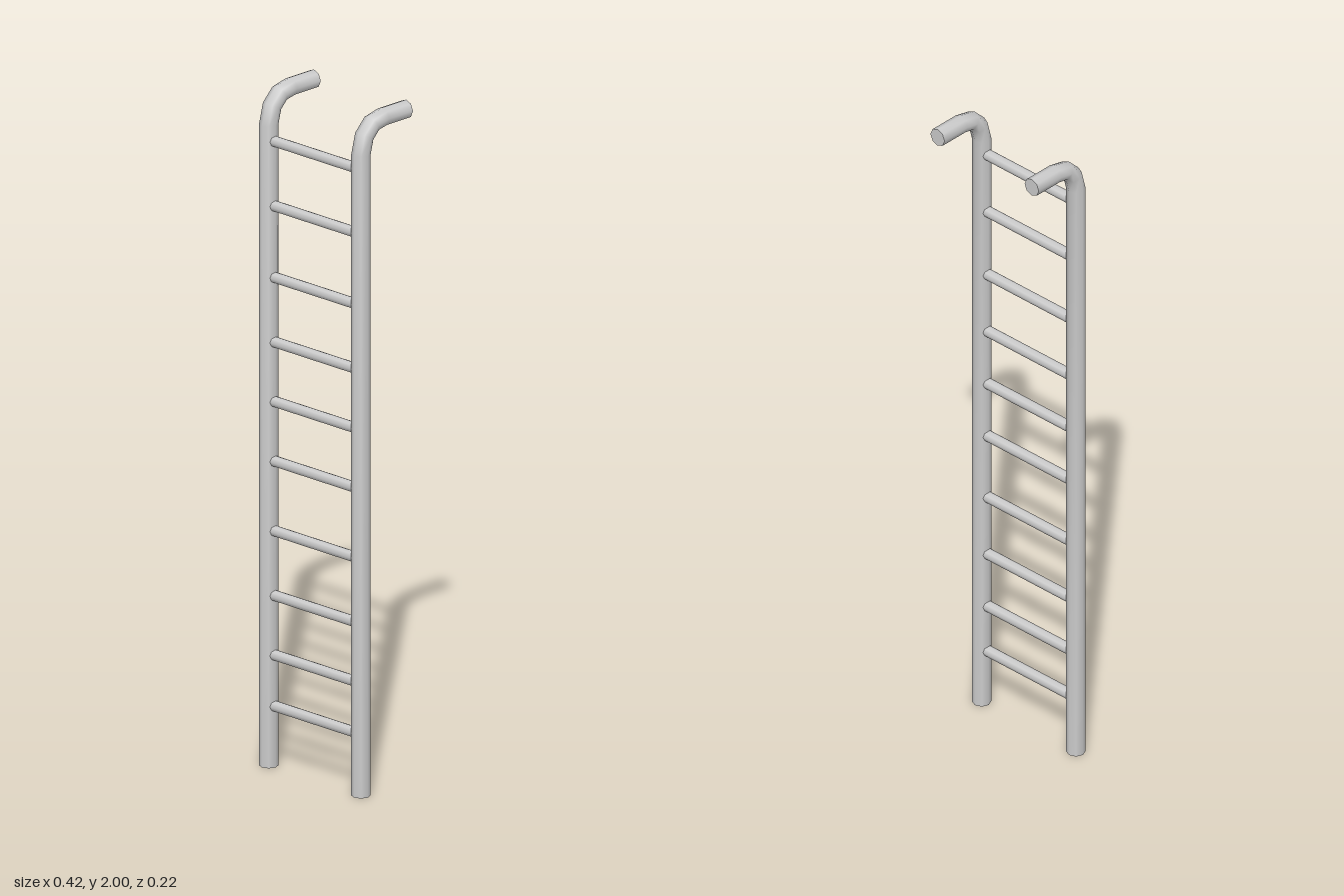
import * as THREE from 'three';
import { toCreasedNormals } from 'three/addons/utils/BufferGeometryUtils.js';

const RAIL_RADIUS = 0.027;
const HALF_WIDTH = 0.18;

// Rail centre line: [y, z, tilt in degrees from upright towards the back]
const RAIL_PATH = [
  [0, 0, 0],
  [1.885, 0, 0],
  [1.935, -0.013, 30],
  [1.965, -0.043, 60],
  [1.974, -0.085, 90],
  [1.974, -0.178, 90],
];

// Capped eight-sided cylinder whose rings are moved onto the centre line
function railGeometry() {
  const steps = RAIL_PATH.length - 1;
  const geometry = new THREE.CylinderGeometry(RAIL_RADIUS, RAIL_RADIUS, steps, 8, steps);
  const pos = geometry.attributes.position;
  for (let i = 0; i < pos.count; i++) {
    const [y, z, tilt] = RAIL_PATH[Math.round(pos.getY(i) + steps / 2)];
    const a = THREE.MathUtils.degToRad(tilt);
    const d = pos.getZ(i);
    pos.setXYZ(i, pos.getX(i), y + d * Math.sin(a), z + d * Math.cos(a));
  }
  return toCreasedNormals(geometry, 1);
}

export function createModel() {
  const ladder = new THREE.Group();
  ladder.name = 'ladder';
  const material = new THREE.MeshStandardMaterial({ color: 0xcccccc });

  // Side rails with hooked tops
  const rail = railGeometry();
  for (const side of [-1, 1]) {
    const mesh = new THREE.Mesh(rail, material);
    mesh.name = side > 0 ? 'leftRail' : 'rightRail';
    mesh.position.x = side * HALF_WIDTH;
    ladder.add(mesh);
  }

  // Unevenly spaced rungs, running into the rails
  const rung = new THREE.CylinderGeometry(0.016, 0.016, HALF_WIDTH * 2, 8);
  rung.rotateZ(Math.PI / 2);
  const heights = [0.18, 0.33, 0.505, 0.695, 0.9, 1.075, 1.25, 1.44, 1.65, 1.84];
  heights.forEach((y, i) => {
    const mesh = new THREE.Mesh(rung, material);
    mesh.name = `rung${i + 1}`;
    mesh.position.y = y;
    ladder.add(mesh);
  });

  // The ladder stands slightly turned
  ladder.rotation.y = -0.033;
  ladder.position.set(-0.003, 0, 0.074);

  const model = new THREE.Group();
  model.name = 'hookedLadder';
  model.add(ladder);
  return model;
}
